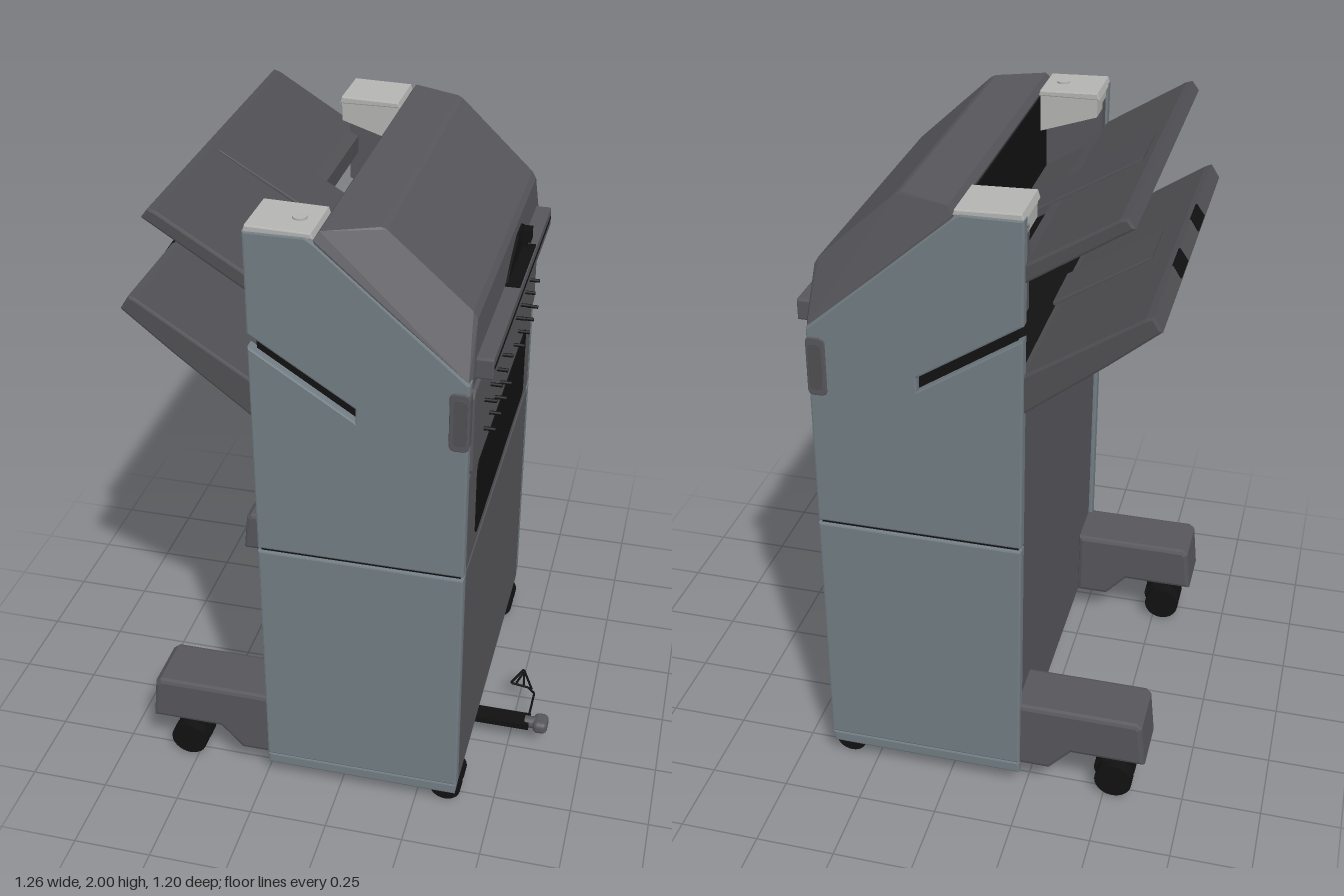
import * as THREE from 'three';
import { ConvexGeometry } from 'three/addons/geometries/ConvexGeometry.js';
import { RoundedBoxGeometry } from 'three/addons/geometries/RoundedBoxGeometry.js';

const material = (name, color) => {
  const m = new THREE.MeshStandardMaterial({ color });
  m.name = name;
  return m;
};

export function createModel() {
  const model = new THREE.Group();
  model.name = 'finisherUnit';
  const panelBlue = material('blue grey panel', 0x717d83);
  const dark = material('dark grey plastic', 0x57565b);
  const trayGrey = material('tray grey', 0x504f53);
  const light = material('light grey cap', 0xb4b4b2);
  const black = material('black', 0x111111);
  const metal = material('metal', 0x8a8a8a);

  const add = (name, geometry, mat, x = 0, y = 0, z = 0, parent = model) => {
    const mesh = new THREE.Mesh(geometry, mat);
    mesh.name = name;
    mesh.position.set(x, y, z);
    parent.add(mesh);
    return mesh;
  };
  const shapeOf = (pts) => new THREE.Shape(pts.map(([a, b]) => new THREE.Vector2(a, b)));
  const extrude = (shape, depth, bevel) => new THREE.ExtrudeGeometry(shape, {
    depth: depth - 2 * bevel, bevelEnabled: bevel > 0, bevelSize: bevel, bevelThickness: bevel,
    bevelOffset: -bevel, bevelSegments: 2, curveSegments: 6,
  }).translate(0, 0, bevel);
  // Side profile in x,y swept from z0 to z1
  const sweep = (name, pts, z0, z1, mat, bevel = 0) =>
    add(name, extrude(shapeOf(pts), z1 - z0, bevel), mat, 0, 0, z0);
  // Outline in z,y standing on the +x face
  const facePlate = (name, pts, x, depth, mat, bevel = 0) =>
    add(name, extrude(shapeOf(pts.map(([z, y]) => [-z, y])), depth, bevel).rotateY(Math.PI / 2), mat, x);
  const rect = (a0, a1, b0, b1, c = 0.02) => [
    [a0 + c, b0], [a1 - c, b0], [a1 - c * 0.3, b0 + c * 0.3], [a1, b0 + c], [a1, b1 - c],
    [a1 - c * 0.3, b1 - c * 0.3], [a1 - c, b1], [a0 + c, b1], [a0 + c * 0.3, b1 - c * 0.3],
    [a0, b1 - c], [a0, b0 + c], [a0 + c * 0.3, b0 + c * 0.3]];
  const box = (name, x0, x1, y0, y1, z0, z1, mat) => add(name, new THREE.BoxGeometry(x1 - x0, y1 - y0, z1 - z0),
    mat, (x0 + x1) / 2, (y0 + y1) / 2, (z0 + z1) / 2);

  // Cabinet core and open paper exit
  sweep('cabinetCore', [[-0.222, 0.1], [0.375, 0.1], [0.375, 1.59], [0.01, 1.92], [0.01, 1.4], [-0.222, 1.37]],
    -0.557, 0.557, dark);
  sweep('paperExitInterior', [[-0.218, 1.36], [0.02, 1.36], [0.02, 1.92], [-0.045, 1.955], [-0.05, 1.66], [-0.12, 1.56], [-0.218, 1.5]],
    -0.55, 0.55, black);

  // Outer side panels, pillars and caps
  const lowerPanel = [[-0.235, 0.115], [0.39, 0.115], [0.39, 0.932], [-0.235, 0.932]];
  const upperPanel = [[-0.235, 0.942], [0.39, 0.942], [0.39, 1.585], [-0.035, 1.955], [-0.06, 1.972], [-0.235, 1.972],
    [-0.235, 1.665], [0.07, 1.468], [0.07, 1.425], [-0.235, 1.625]];
  for (const s of [1, -1]) {
    const side = (name, pts, inner, outer, mat, bevel) =>
      sweep(name, pts, s > 0 ? inner : -outer, s > 0 ? outer : -inner, mat, bevel);
    side('lowerSidePanel', lowerPanel, 0.55, 0.592, panelBlue, 0.006);
    side('upperSidePanel', upperPanel, 0.55, 0.592, panelBlue, 0.006);
    side('sideSeam', [[-0.225, 0.92], [0.38, 0.92], [0.38, 0.95], [-0.225, 0.95]], 0.55, 0.582, black, 0);
    side('slotLining', [[-0.215, 1.67], [0.09, 1.48], [0.09, 1.41], [-0.215, 1.61]], 0.553, 0.565, black, 0);
    side('baseRail', [[-0.235, 0.072], [0.385, 0.072], [0.39, 0.112], [-0.235, 0.112]], 0.54, 0.588, panelBlue, 0.006);
    side('sideGrip', rect(0.335, 0.393, 1.375, 1.56, 0.015), 0.555, 0.596, dark, 0.004);
    side('sideGripInset', rect(0.348, 0.385, 1.395, 1.54, 0.012), 0.59, 0.599, trayGrey, 0);
    side('pillar', [[-0.228, 1.68], [-0.04, 1.6], [-0.04, 1.93], [-0.228, 1.93]], 0.5, 0.553, dark, 0);
    side('pillarCap', [[-0.235, 1.966], [-0.04, 1.966], [-0.045, 1.983], [-0.228, 1.988]], 0.405, 0.588, light, 0.004);
    side('pillarCapInner', [[-0.228, 1.91], [-0.045, 1.85], [-0.045, 1.968], [-0.228, 1.968]], 0.41, 0.55, light, 0);
  }
  add('capButton', new THREE.CylinderGeometry(0.02, 0.02, 0.006, 20), light, -0.1, 1.987, 0.5);

  // Faceted top cover
  const coverPoints = [];
  for (const s of [1, -1]) {
    for (const [x, y, z] of [[-0.04, 1.965, 0.588], [-0.025, 1.987, 0.575], [0.125, 1.987, 0.51], [0.14, 1.98, 0.508],
      [0.375, 1.762, 0.495], [0.388, 1.74, 0.495], [0.393, 1.6, 0.565], [0.385, 1.592, 0.588], [-0.035, 1.95, 0.588]]) {
      coverPoints.push(new THREE.Vector3(x, y, z * s));
    }
  }
  add('topCover', new ConvexGeometry(coverPoints), dark);

  // Doors and fittings on the +x face
  facePlate('lowerDoor', rect(-0.555, 0.555, 0.1, 0.932, 0.01), 0.37, 0.02, dark, 0.005);
  facePlate('upperDoor', rect(-0.555, 0.555, 0.942, 1.265, 0.01), 0.37, 0.02, dark, 0.005);
  facePlate('controlPanel', rect(-0.555, 0.555, 1.272, 1.545, 0.02), 0.37, 0.028, dark, 0.006);
  facePlate('upperBand', rect(-0.55, 0.55, 1.55, 1.6, 0.01), 0.36, 0.03, dark, 0.004);
  facePlate('doorSeam', rect(-0.55, 0.55, 0.92, 0.95, 0.002), 0.37, 0.012, black);
  facePlate('window', rect(-0.43, 0.43, 0.985, 1.235), 0.388, 0.005, black);
  facePlate('exitSlit', rect(-0.42, 0.405, 1.525, 1.55, 0.008), 0.39, 0.012, black);
  facePlate('coverLip', rect(-0.52, 0.52, 1.57, 1.635, 0.006), 0.385, 0.055, dark, 0.004);
  facePlate('coverLipGroove', rect(-0.51, 0.51, 1.6, 1.608, 0.001), 0.437, 0.005, black);
  facePlate('coverRecess', [[0.07, 1.636], [0.02, 1.66], [-0.11, 1.712], [-0.2, 1.712], [-0.3, 1.655], [-0.31, 1.636]],
    0.39, 0.008, black);
  box('lipBlackTop', 0.392, 0.437, 1.633, 1.639, -0.22, 0.08, black);
  box('coverLatch', 0.39, 0.425, 1.66, 1.7, -0.22, -0.18, black);
  box('latchStem', 0.4, 0.413, 1.635, 1.665, -0.21, -0.19, black);
  for (const y of [1.335, 1.43]) {
    for (const z of [0.12, 0.21, 0.3, 0.39]) {
      for (const s of [1, -1]) {
        add('panelPin', new THREE.CylinderGeometry(0.006, 0.006, 0.04, 8).rotateZ(Math.PI / 2), black, 0.413, y, z * s);
      }
    }
  }

  // Output trays with raised centre pads and end lips
  sweep('upperTray', [[-0.2, 1.77], [-0.235, 1.786], [-0.522, 1.972], [-0.5, 2.0], [-0.48, 1.994], [-0.235, 1.842], [-0.2, 1.825]],
    -0.575, 0.575, trayGrey, 0.007);
  sweep('upperTrayPad', [[-0.46, 1.975], [-0.46, 1.988], [-0.24, 1.856], [-0.08, 1.76], [-0.08, 1.73], [-0.235, 1.82]],
    -0.11, 0.105, trayGrey, 0.004);
  sweep('upperTrayTongue', [[-0.235, 1.8], [-0.235, 1.842], [-0.07, 1.74], [-0.07, 1.71]], 0.1, 0.4, trayGrey);
  sweep('lowerTray', [[-0.2, 1.37], [-0.235, 1.388], [-0.46, 1.565], [-0.607, 1.688], [-0.58, 1.73], [-0.56, 1.722], [-0.235, 1.51], [-0.2, 1.49]],
    -0.575, 0.575, trayGrey, 0.007);
  sweep('lowerTrayPad', [[-0.5, 1.67], [-0.5, 1.69], [-0.21, 1.51], [-0.21, 1.48]], -0.11, 0.105, trayGrey, 0.004);
  for (const [x, y] of [[-0.592, 1.713]]) {
    for (const z of [-0.18, 0.16]) {
      const grip = add('trayGrip', new THREE.BoxGeometry(0.045, 0.006, 0.12), black, x, y, z);
      grip.rotation.z = 0.95;
    }
  }

  // Casters: twin wheels with hub, hood and stem
  const caster = (name, x, z, r, stemX, stemTop) => {
    const group = new THREE.Group();
    group.name = name;
    group.position.set(x, r, z);
    for (const s of [1, -1]) {
      add('wheel', new THREE.CylinderGeometry(r, r, 0.045, 28).rotateX(Math.PI / 2), black, 0, 0, s * 0.035, group);
    }
    add('hood', new THREE.CylinderGeometry(r * 0.8, r * 0.8, 0.04, 20).rotateX(Math.PI / 2), black, stemX * 0.6, r * 0.25, 0, group);
    add('stem', new THREE.CylinderGeometry(0.014, 0.014, stemTop - r, 14), metal, stemX, (stemTop - r) / 2, 0, group);
    add('stemCollar', new THREE.CylinderGeometry(0.026, 0.03, 0.025, 16), black, stemX, r * 1.05, 0, group);
    model.add(group);
  };

  // Outrigger feet
  for (const s of [1, -1]) {
    sweep('outriggerFoot', [[-0.22, 0.1], [-0.33, 0.1], [-0.4, 0.178], [-0.632, 0.178], [-0.617, 0.32], [-0.6, 0.335], [-0.22, 0.335]],
      s > 0 ? 0.38 : -0.575, s > 0 ? 0.575 : -0.38, dark, 0.014);
    caster('rearCaster', -0.53, s * 0.48, 0.06, 0.035, 0.185);
    caster('frontCaster', 0.345, s * 0.485, 0.05, 0, 0.105);
  }

  // Release bar with knob and bent wire marker
  box('releaseBar', -0.2, 0.565, 0.068, 0.09, 0.175, 0.235, black);
  add('releaseKnob', new RoundedBoxGeometry(0.05, 0.045, 0.07, 3, 0.018), dark, 0.603, 0.08, 0.205);
  add('knobNeck', new THREE.CylinderGeometry(0.02, 0.02, 0.04, 16).rotateZ(Math.PI / 2), dark, 0.57, 0.08, 0.205);
  const v = (x, z) => new THREE.Vector3(x, 0.088, z);
  const wire = (pts) => {
    const path = new THREE.CurvePath();
    for (let i = 1; i < pts.length; i++) path.add(new THREE.LineCurve3(pts[i - 1], pts[i]));
    add('wireMarker', new THREE.TubeGeometry(path, pts.length * 10, 0.004, 6), black);
  };
  wire([v(0.56, 0.19), v(0.56, 0.07), v(0.535, 0.045), v(0.472, 0.035), v(0.505, -0.045), v(0.55, 0.055)]);
  wire([v(0.49, 0.035), v(0.507, -0.03), v(0.52, 0.04)]);
  return model;
}
